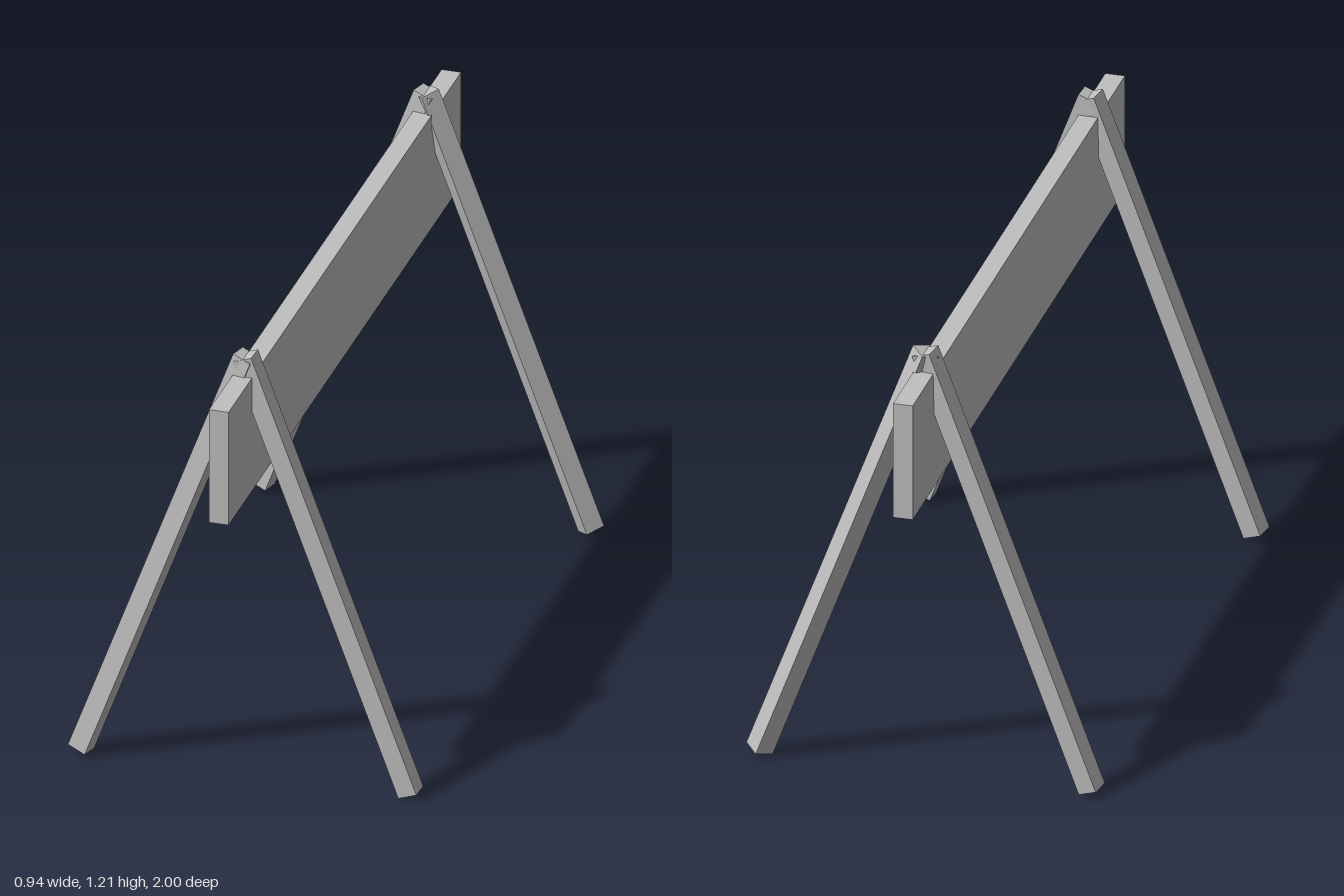
import * as THREE from 'three';

export function createModel() {
  const model = new THREE.Group();
  model.name = 'trestle';
  const grey = new THREE.MeshStandardMaterial({ color: 0xc0c0c0 });
  grey.name = 'plain grey';

  // Upright plank along z
  const plank = new THREE.Mesh(new THREE.BoxGeometry(0.052, 0.322, 2), grey);
  plank.name = 'plank';
  plank.position.set(-0.002, 0.99, 0);
  model.add(plank);

  // Square legs leaning together at the top, each turned about its own length
  const legGeometry = new THREE.BoxGeometry(0.052, 1.26, 0.052);
  const tilt = Math.atan2(0.44, 1.18);
  const addLeg = (name, side, z, twist) => {
    const leg = new THREE.Mesh(legGeometry, grey);
    leg.name = name;
    leg.position.set(side * 0.219, 0.609, z);
    leg.rotation.set(0, THREE.MathUtils.degToRad(twist), side * tilt, 'ZYX');
    model.add(leg);
  };
  addLeg('frontRightLeg', -1, 0.773, -12);
  addLeg('frontLeftLeg', 1, 0.773, -3);
  addLeg('backRightLeg', -1, -0.779, -12);
  addLeg('backLeftLeg', 1, -0.778, 45);

  return model;
}
